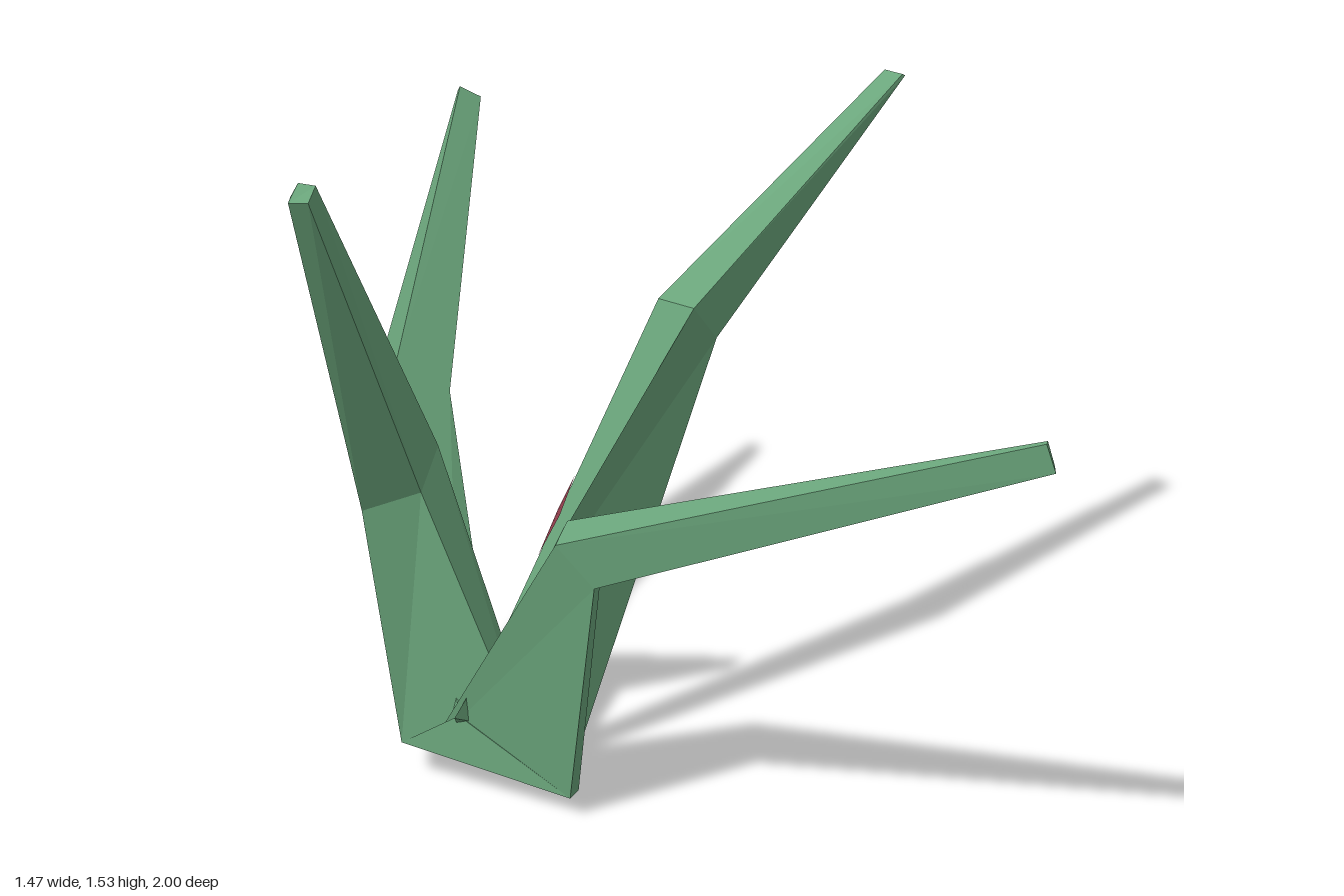
import * as THREE from 'three';

// Triangles from a flat list of corners, turned so the closed skin faces outward
function facets(tris) {
  let volume = 0;
  const v = (p) => new THREE.Vector3(...p);
  for (const [a, b, c] of tris) volume += v(a).dot(v(b).cross(v(c)));
  const pos = tris.flatMap(([a, b, c]) => (volume < 0 ? [a, c, b] : [a, b, c])).flat();
  const g = new THREE.BufferGeometry();
  g.setAttribute('position', new THREE.Float32BufferAttribute(pos, 3));
  g.computeVertexNormals();
  return g;
}

const fan = (ring, flip) => ring.slice(1, -1).map((p, i) =>
  flip ? [ring[0], ring[i + 2], p] : [ring[0], p, ring[i + 2]]);

// Closed skin over rings of matching corners: base, bend, tip
function loft(rings) {
  const n = rings[0].length;
  const tris = [...fan(rings[0], true), ...fan(rings[rings.length - 1], false)];
  for (let k = 0; k < rings.length - 1; k++) {
    const lo = rings[k], hi = rings[k + 1];
    for (let i = 0; i < n; i++) {
      const j = (i + 1) % n;
      tris.push([lo[i], lo[j], hi[j]], [lo[i], hi[j], hi[i]]);
    }
  }
  return facets(tris);
}

export function createModel() {
  const group = new THREE.Group();
  const leafGreen = new THREE.MeshStandardMaterial({ color: 0x6ba67c, flatShading: true, side: THREE.DoubleSide });
  leafGreen.name = 'leaf green';
  const maroon = new THREE.MeshStandardMaterial({ color: 0x8a3a48, flatShading: true, side: THREE.DoubleSide });
  maroon.name = 'maroon';
  const add = (name, geometry, material) => {
    const mesh = new THREE.Mesh(geometry, material);
    mesh.name = name;
    group.add(mesh);
  };

  // Four bent leaves
  const leaves = {
    tallLeaf: [
      [[-0.55, 0.09, 0.13], [-0.25, 0.08, 0.25], [-0.24, 0.08, 0.16], [-0.47, 0.03, 0.0], [-0.53, 0.06, 0.06]],
      [[-0.62, 0.67, 0.14], [-0.49, 0.71, 0.14], [-0.45, 0.76, 0.0], [-0.55, 0.70, -0.07], [-0.61, 0.68, -0.03]],
      [[-0.735, 1.5, 0.48], [-0.695, 1.5, 0.485], [-0.68, 1.525, 0.45], [-0.715, 1.53, 0.445], [-0.73, 1.51, 0.47]],
    ],
    frontLeaf: [
      [[-0.49, 0.07, 0.13], [-0.18, 0.05, 0.34], [-0.16, 0.06, 0.32], [-0.42, 0.11, 0.13]],
      [[-0.21, 0.71, 0.43], [-0.13, 0.62, 0.46], [-0.11, 0.63, 0.38], [-0.18, 0.72, 0.33]],
      [[0.71, 1.16, 0.995], [0.73, 1.10, 1.0], [0.73, 1.11, 0.985], [0.715, 1.16, 0.98]],
    ],
    sideLeaf: [
      [[-0.42, 0.14, 0.16], [-0.43, 0.20, 0.23], [-0.14, 0.03, 0.04], [-0.14, 0.07, -0.04]],
      [[0.04, 1.08, -0.04], [0.115, 1.07, 0.0], [0.17, 0.98, -0.05], [0.09, 0.99, -0.14]],
      [[0.605, 1.42, -0.60], [0.64, 1.422, -0.555], [0.647, 1.417, -0.56], [0.61, 1.415, -0.61]],
    ],
    backLeaf: [
      [[-0.42, 0.20, 0.20], [-0.33, 0.13, 0.16], [-0.46, 0.0, -0.14], [-0.52, 0.05, 0.03]],
      [[-0.54, 0.81, -0.40], [-0.42, 0.72, -0.41], [-0.50, 0.71, -0.58], [-0.60, 0.69, -0.52]],
      [[-0.375, 1.28, -0.985], [-0.325, 1.25, -0.995], [-0.33, 1.245, -1.0], [-0.38, 1.27, -0.99]],
    ],
  };
  for (const [name, rings] of Object.entries(leaves)) add(name, loft(rings), leafGreen);

  // Low faceted root where the leaves meet
  const rim = [[-0.18, 0.05, 0.34], [-0.14, 0.02, 0.04], [-0.13, 0.04, -0.03], [-0.45, 0.0, -0.14],
    [-0.48, 0.005, -0.09], [-0.53, 0.06, 0.06], [-0.55, 0.09, 0.13]];
  const apex = [-0.42, 0.19, 0.2];
  add('root', facets([...fan(rim, true),
    ...rim.map((p, i) => [p, rim[(i + 1) % rim.length], apex])]), leafGreen);

  // Sliver of maroon along the ridge of the side leaf
  add('ridgeMark', facets([
    [[-0.235, 0.525, 0.085], [-0.19, 0.617, 0.05], [-0.15, 0.70, 0.045]],
    [[-0.235, 0.525, 0.085], [-0.15, 0.70, 0.045], [-0.185, 0.617, 0.072]],
  ]), maroon);

  return group;
}
